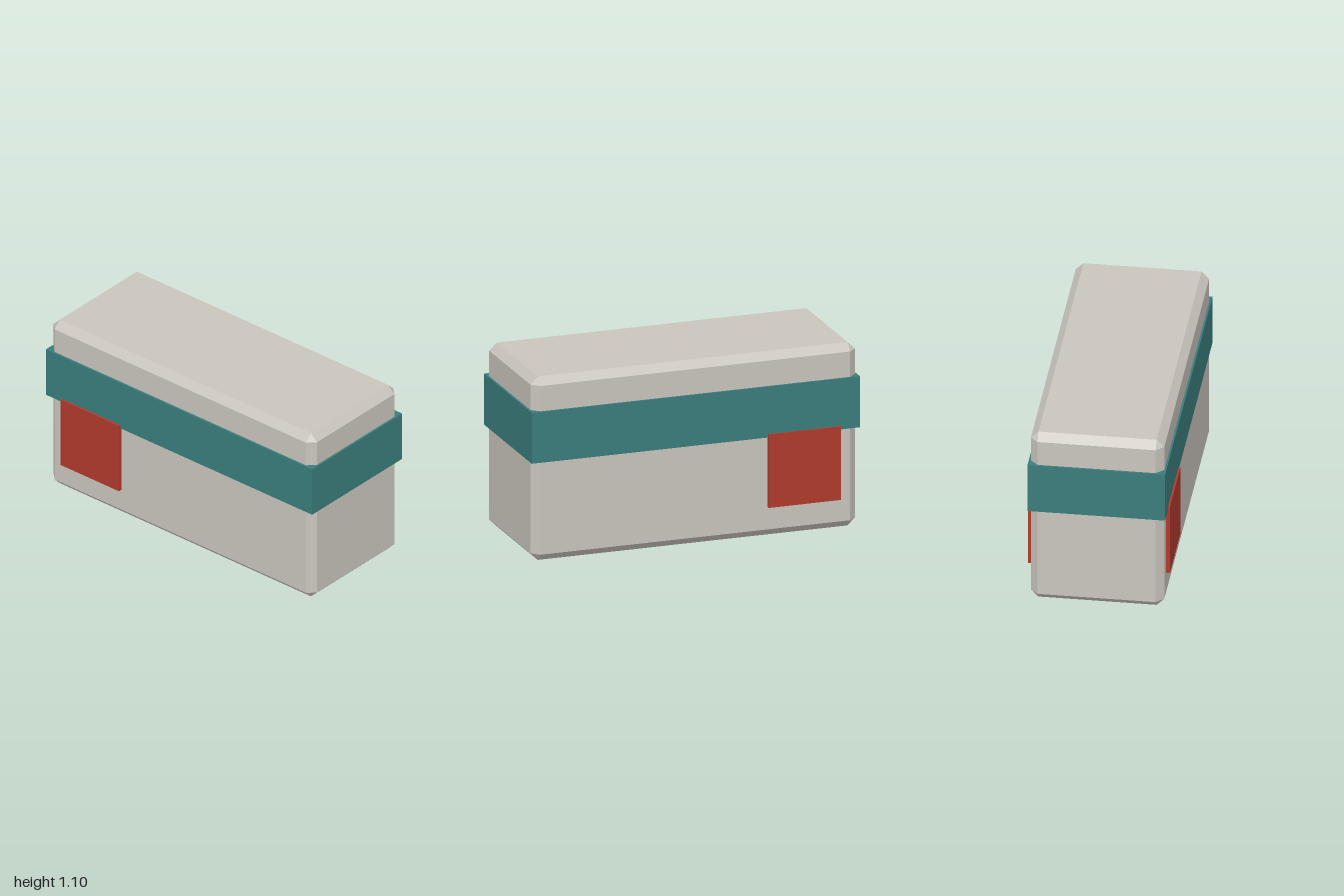
import * as THREE from 'three';
import { ConvexGeometry } from 'three/addons/geometries/ConvexGeometry.js';

// Box with flat 45 degree bevels on every edge and triangular corner facets
function chamferedBox(w, h, d, c) {
  const points = [];
  for (const sx of [-1, 1]) for (const sy of [-1, 1]) for (const sz of [-1, 1]) {
    const x = w / 2, y = h / 2, z = d / 2;
    points.push(
      new THREE.Vector3(sx * x, sy * (y - c), sz * (z - c)),
      new THREE.Vector3(sx * (x - c), sy * y, sz * (z - c)),
      new THREE.Vector3(sx * (x - c), sy * (y - c), sz * z)
    );
  }
  return new ConvexGeometry(points);
}

function material(name, color) {
  const m = new THREE.MeshStandardMaterial({ color });
  m.name = name;
  return m;
}

export function createModel() {
  const model = new THREE.Group();
  model.name = 'bandedCase';
  const grey = material('warmGrey', 0xc9c5bd);
  const teal = material('teal', 0x3a7d7c);
  const red = material('red', 0xb03a2c);

  const add = (name, geometry, mat, x, y, z) => {
    const mesh = new THREE.Mesh(geometry, mat);
    mesh.name = name;
    mesh.position.set(x, y, z);
    model.add(mesh);
  };

  // Bevelled body
  add('body', chamferedBox(1.976, 1.1, 0.77, 0.044), grey, 0, 0.55, 0);

  // Band wrapped around the upper half
  add('band', new THREE.BoxGeometry(2, 0.305, 0.794), teal, 0, 0.7515, 0);

  // Square panels on the front and back, overlapping the band's lower edge
  for (const [name, side] of [['frontPanel', 1], ['backPanel', -1]]) {
    add(name, new THREE.BoxGeometry(0.44, 0.44, 0.028), red, -0.66, 0.4, side * 0.395);
  }
  return model;
}
